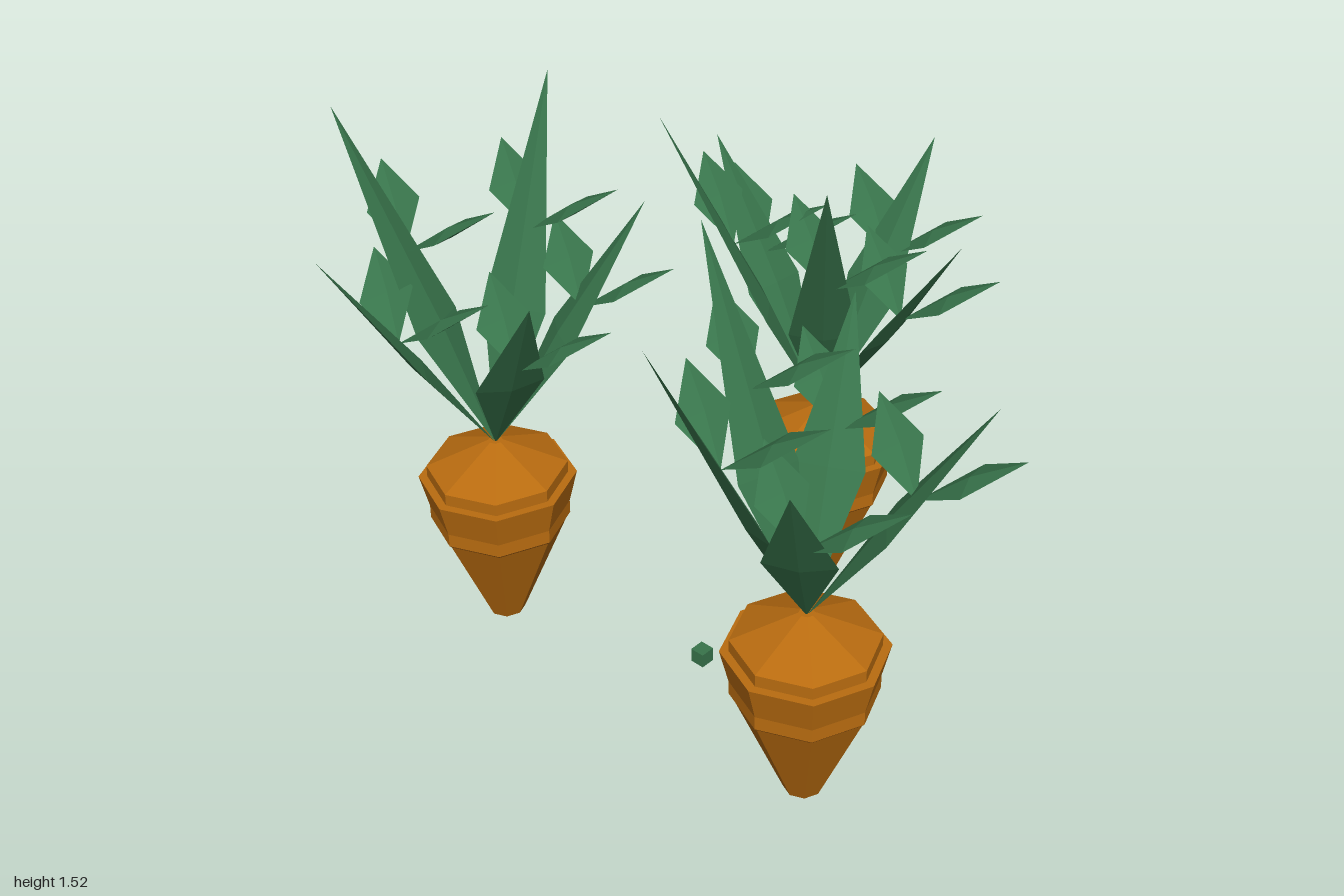
import * as THREE from 'three';
import { ConvexGeometry } from 'three/addons/geometries/ConvexGeometry.js';

const V = (x, y, z) => new THREE.Vector3(x, y, z);

export function createModel() {
  const orange = new THREE.MeshStandardMaterial({ color: 0xb96c10, flatShading: true });
  orange.name = 'carrot orange';
  const green = new THREE.MeshStandardMaterial({ color: 0x38744b, flatShading: true });
  green.name = 'leaf green';

  const model = new THREE.Group();
  model.name = 'carrots';

  const add = (parent, name, geometry, material) => {
    const mesh = new THREE.Mesh(geometry, material);
    mesh.name = name;
    parent.add(mesh);
    return mesh;
  };

  // Pointed blade: a flat bipyramid, widest at fraction t of its length
  const blade = (base, tip, side, thickness, t) => {
    const mid = base.clone().lerp(tip, t);
    const normal = tip.clone().sub(base).cross(side).normalize().multiplyScalar(thickness);
    return new ConvexGeometry([
      base, tip,
      mid.clone().add(side), mid.clone().sub(side),
      mid.clone().add(normal), mid.clone().sub(normal),
    ]);
  };

  // Eight-sided root with a flared collar and a shallow cap
  const profile = [
    [0, 0.034], [0.052, 0.034], [0.186, 0.352], [0.193, 0.36], [0.193, 0.40],
    [0.217, 0.50], [0.193, 0.50], [0.193, 0.535], [0.02, 0.615], [0, 0.615],
  ].map(([r, y]) => new THREE.Vector2(r, y));
  const rootGeometry = new THREE.LatheGeometry(profile, 8).toNonIndexed();
  rootGeometry.computeVertexNormals();

  // Fronds: direction in degrees from +x towards +z, and whether tall
  const fronds = [[187, false], [273, false], [359, false], [51, true], [135, true]];

  const makeCarrot = (name, x, z, turn) => {
    const carrot = new THREE.Group();
    carrot.name = name;
    carrot.position.set(x, 0, z);
    add(carrot, 'root', rootGeometry, orange);

    for (const [degrees, tall] of fronds) {
      const a = THREE.MathUtils.degToRad(degrees) + turn;
      const c = Math.cos(a), s = Math.sin(a);
      const frond = new THREE.Group();
      frond.name = tall ? 'tallFrond' : 'lowFrond';
      carrot.add(frond);

      // Main spike leaning outwards
      const tip = V(0.435 * c, tall ? 1.525 : 1.285, 0.435 * s);
      const side = V(-s, 0, c).multiplyScalar(0.092);
      add(frond, 'spike', blade(V(0, 0.605, 0), tip, side, 0.016, tall ? 0.37 : 0.46), green);

      // Pair of leaflets reaching left and right
      const y = tall ? 1.135 : 0.99;
      for (const dir of [1, -1]) {
        const start = V(0.25 * c, y, 0.25 * s - 0.01);
        const end = start.clone().add(V(dir * 0.22, 0.15, -0.125));
        add(frond, 'leaflet', blade(start, end, V(dir * 0.02, 0, 0.075), 0.014, 0.5), green);
      }
    }
    model.add(carrot);
  };

  makeCarrot('backCarrot', 0.01, -0.348, 0);
  makeCarrot('leftCarrot', 0.56, 0.37, 1);
  makeCarrot('rightCarrot', -0.545, 0.37, 2);

  // Small cube on the ground between the carrots
  add(model, 'groundCube', new THREE.BoxGeometry(0.043, 0.043, 0.043), green)
    .position.set(0.008, 0.0215, 0.15);

  return model;
}
